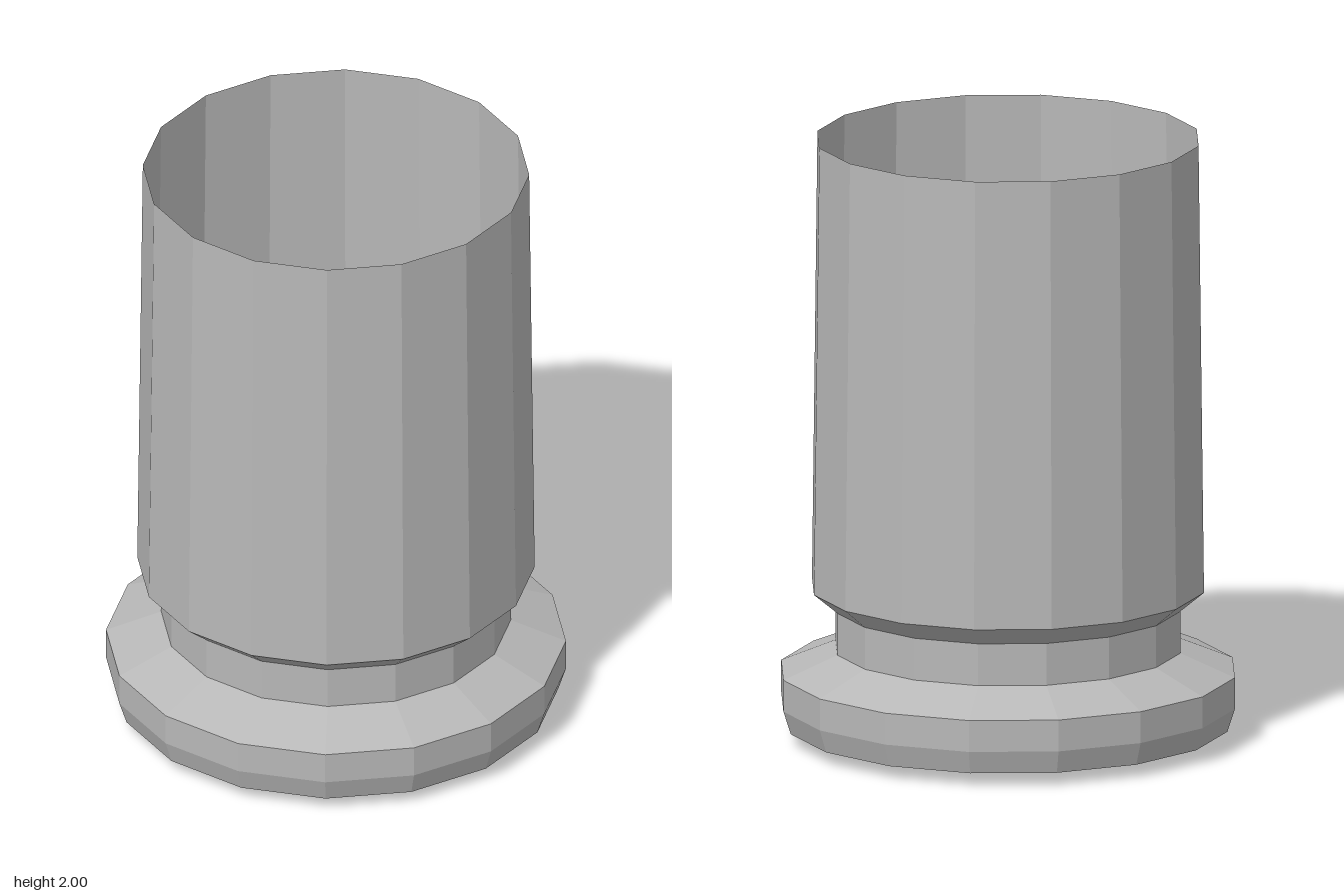
import * as THREE from 'three';

const SIDES = 16;

export function createModel() {
  const model = new THREE.Group();
  model.name = 'casing';

  const steel = new THREE.MeshStandardMaterial({ color: 0xb8b8b8 });
  steel.name = 'grey steel';
  steel.flatShading = true;
  steel.side = THREE.DoubleSide;

  const add = (name, geometry) => {
    const mesh = new THREE.Mesh(geometry, steel);
    mesh.name = name;
    model.add(mesh);
    return mesh;
  };
  const lathe = (name, profile, sides = SIDES) =>
    add(name, new THREE.LatheGeometry(profile.map(([r, y]) => new THREE.Vector2(r, y)), sides));

  // Flanged base with chamfered edges
  lathe('baseFlange', [[0, 0.043], [0.725, 0.043], [0.75, 0.12], [0.75, 0.225], [0.57, 0.3]]);

  // Narrow groove and the shoulder above it
  lathe('groove', [[0.57, 0.3], [0.57, 0.44], [0.648, 0.505]]);

  // Open, slightly tapered thin wall
  lathe('tubeWall', [[0.648, 0.505], [0.63, 2]]);

  // Inner floor with a shallow round recess
  lathe('innerFloor', [[0, 0.42], [0.485, 0.42], [0.485, 0.505], [0.646, 0.505]]);

  // Thin disc under the base with a bevelled central cap
  lathe('primerDisc', [[0, 0.028], [0.32, 0.028], [0.32, 0.036], [0, 0.036]], 24);
  lathe('primerCap', [[0, 0], [0.2, 0], [0.24, 0.022], [0.24, 0.028]], 24);

  // Eight radial marks around the underside
  for (let i = 0; i < 8; i++) {
    const a = (i * Math.PI) / 4;
    const mark = add('baseMark', new THREE.BoxGeometry(0.12, 0.006, 0.042));
    mark.position.set(0.52 * Math.cos(a), 0.043, -0.52 * Math.sin(a));
    mark.rotation.y = a;
  }

  return model;
}
